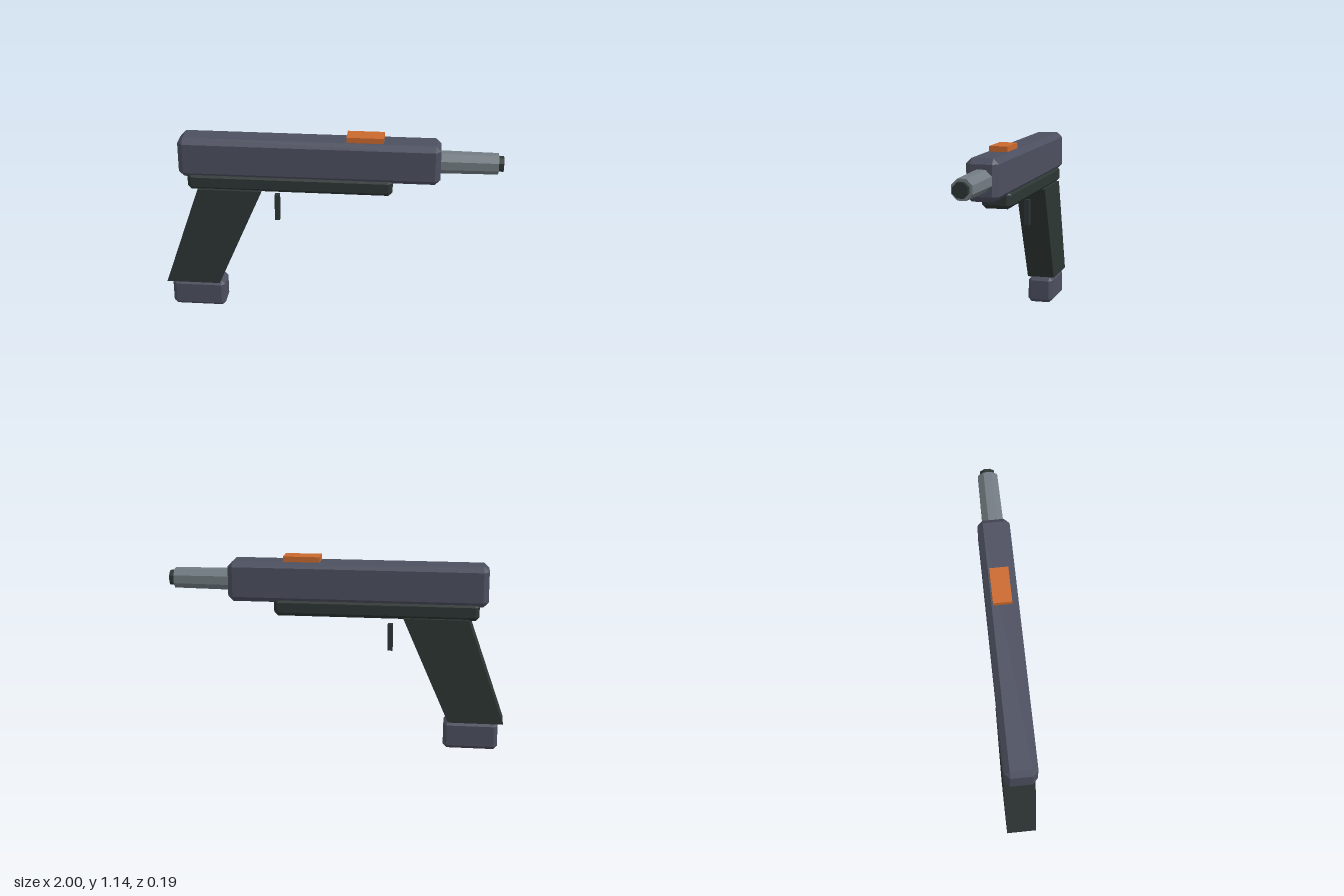
import * as THREE from 'three';
import { ConvexGeometry } from 'three/addons/geometries/ConvexGeometry.js';

const flat = (name, color) => {
  const m = new THREE.MeshStandardMaterial({ color, flatShading: true });
  m.name = name;
  return m;
};

// Box with every edge bevelled by c, spanning x0..x1, y0..y1 and -d..d in z
function bevelBox(x0, x1, y0, y1, d, c) {
  const hx = (x1 - x0) / 2, hy = (y1 - y0) / 2, pts = [];
  for (const sx of [-1, 1]) for (const sy of [-1, 1]) for (const sz of [-1, 1]) {
    pts.push(
      new THREE.Vector3(sx * hx, sy * (hy - c), sz * (d - c)),
      new THREE.Vector3(sx * (hx - c), sy * hy, sz * (d - c)),
      new THREE.Vector3(sx * (hx - c), sy * (hy - c), sz * d));
  }
  return new ConvexGeometry(pts).translate((x0 + x1) / 2, (y0 + y1) / 2, 0);
}

function plainBox(x0, x1, y0, y1, d) {
  return new THREE.BoxGeometry(x1 - x0, y1 - y0, 2 * d)
    .translate((x0 + x1) / 2, (y0 + y1) / 2, 0);
}

// Eight-sided rod along x with flats facing up and sideways
function octRod(x0, x1, rBack, rFront, y) {
  return new THREE.CylinderGeometry(rFront, rBack, x1 - x0, 8)
    .rotateY(Math.PI / 8).rotateZ(-Math.PI / 2).translate((x0 + x1) / 2, y, 0);
}

export function createModel() {
  const group = new THREE.Group();
  const slate = flat('slate', 0x4c4f5f);
  const dark = flat('dark grey green', 0x2d3634);
  const steel = flat('steel', 0x727c82);
  const orange = flat('orange', 0xcb692e);

  const add = (name, geometry, material) => {
    const mesh = new THREE.Mesh(geometry, material);
    mesh.name = name;
    group.add(mesh);
  };

  // Upper body and the rail beneath it
  add('slide', bevelBox(-0.89, 0.64, 0.87, 1.11, 0.093, 0.031), slate);
  add('lowerFrame', bevelBox(-0.84, 0.365, 0.79, 0.893, 0.087, 0.022), dark);

  // Raked grip: a box sheared and slightly tapered between its two ends
  const grip = new THREE.BoxGeometry(1, 1, 1);
  const p = grip.attributes.position;
  for (let i = 0; i < p.count; i++) {
    const top = p.getY(i) > 0, back = p.getX(i) < 0;
    const x = top ? (back ? -0.78 : -0.4) : (back ? -1 : -0.675);
    p.setXYZ(i, x, top ? 0.797 : 0.167, Math.sign(p.getZ(i)) * (top ? 0.093 : 0.088));
  }
  grip.computeVertexNormals();
  add('grip', grip, dark);
  add('gripBase', bevelBox(-0.97, -0.647, 0, 0.168, 0.081, 0.022), slate);

  // Barrel and muzzle plug
  add('barrel', octRod(0.6, 0.97, 0.067, 0.062, 0.99), steel);
  add('muzzle', octRod(0.95, 1, 0.045, 0.045, 0.99), dark);

  // Trigger and sight
  add('trigger', plainBox(-0.334, -0.304, 0.58, 0.742, 0.017), dark);
  add('sight', plainBox(0.095, 0.31, 1.1, 1.142, 0.054), orange);

  return group;
}
